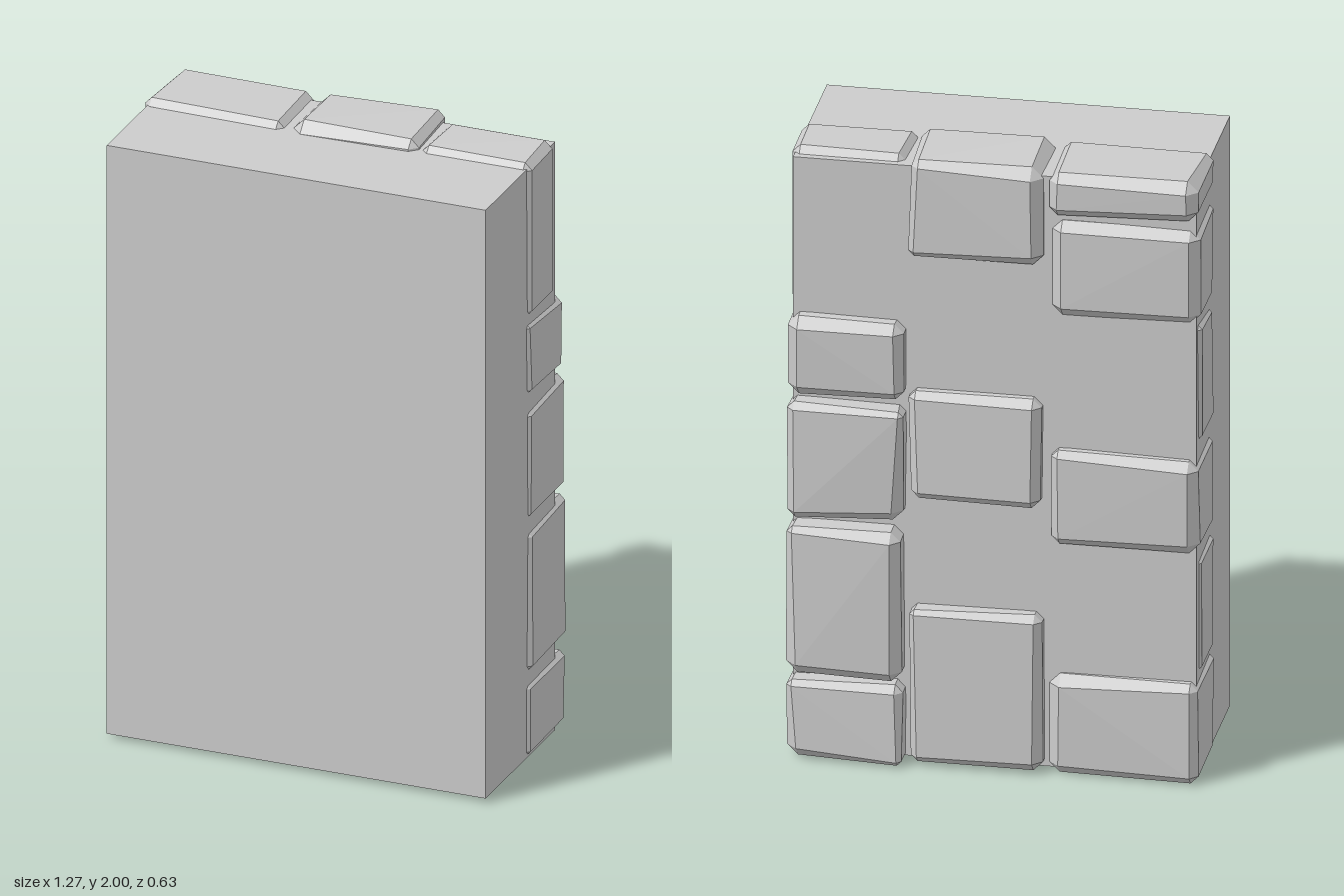
import * as THREE from 'three';
import { ConvexGeometry } from 'three/addons/geometries/ConvexGeometry.js';

export function createModel() {
  const wall = new THREE.Group();
  wall.name = 'stoneWallBlock';
  const stone = new THREE.MeshStandardMaterial({ color: 0xcccccc });
  stone.name = 'grey stone';

  // small seeded generator for the hewn irregularity
  let seed = 11;
  const rand = () => (seed = (seed * 16807) % 2147483647) / 2147483647;

  // plain core block
  const core = new THREE.Mesh(new THREE.BoxGeometry(1.24, 1.95, 0.545), stone);
  core.name = 'core';
  core.position.set(0, 0.99, 0.0425);
  wall.add(core);

  // rough stone: a box whose corners are cut off and nudged slightly inward
  function addStone(name, min, max) {
    const jitter = [0.012, 0.014, 0.014], points = [];
    for (let corner = 0; corner < 8; corner++) {
      const high = [corner & 1, corner & 2, corner & 4];
      const cut = 0.014 + 0.022 * rand();
      const base = high.map((h, i) => {
        // outer skins of the wall are thin, so keep them nearly level
        const skin = (i === 0 && Math.abs(h ? max[0] : min[0]) > 0.6) ||
          (i === 1 && ((h ? max[1] : min[1]) > 1.95 || (h ? max[1] : min[1]) < 0.02));
        const inset = rand() * (skin ? 0.007 : jitter[i]);
        return h ? max[i] - inset : min[i] + inset;
      });
      for (let axis = 0; axis < 3; axis++) {
        const p = base.map((v, i) => (i === axis ? v : v + (high[i] ? -cut : cut)));
        points.push(new THREE.Vector3(...p));
      }
    }
    const mesh = new THREE.Mesh(new ConvexGeometry(points), stone);
    mesh.name = name;
    wall.add(mesh);
  }

  // columns of stones: [bottom, top, back z]
  const columns = [
    { name: 'leftStone', x: [0.27, 0.634], rows: [
      [0.004, 0.268, -0.308], [0.275, 0.785, -0.318], [0.79, 1.183, -0.303],
      [1.19, 1.462, -0.295], [1.46, 1.988, -0.218]] },
    { name: 'middleStone', x: [-0.157, 0.263], rows: [
      [0.008, 0.53, -0.29], [0.87, 1.245, -0.282], [1.67, 2, -0.28]] },
    { name: 'rightStone', x: [-0.634, -0.167], rows: [
      [0, 0.335, -0.275], [0.33, 0.735, -0.215], [0.755, 1.075, -0.275],
      [1.09, 1.5, -0.215], [1.505, 1.83, -0.268], [1.845, 1.99, -0.278]] },
  ];
  for (const { name, x, rows } of columns) {
    rows.forEach(([y0, y1, back], i) =>
      addStone(name + (i + 1), [x[0], y0, back], [x[1], y1, 0.015]));
  }
  return wall;
}
